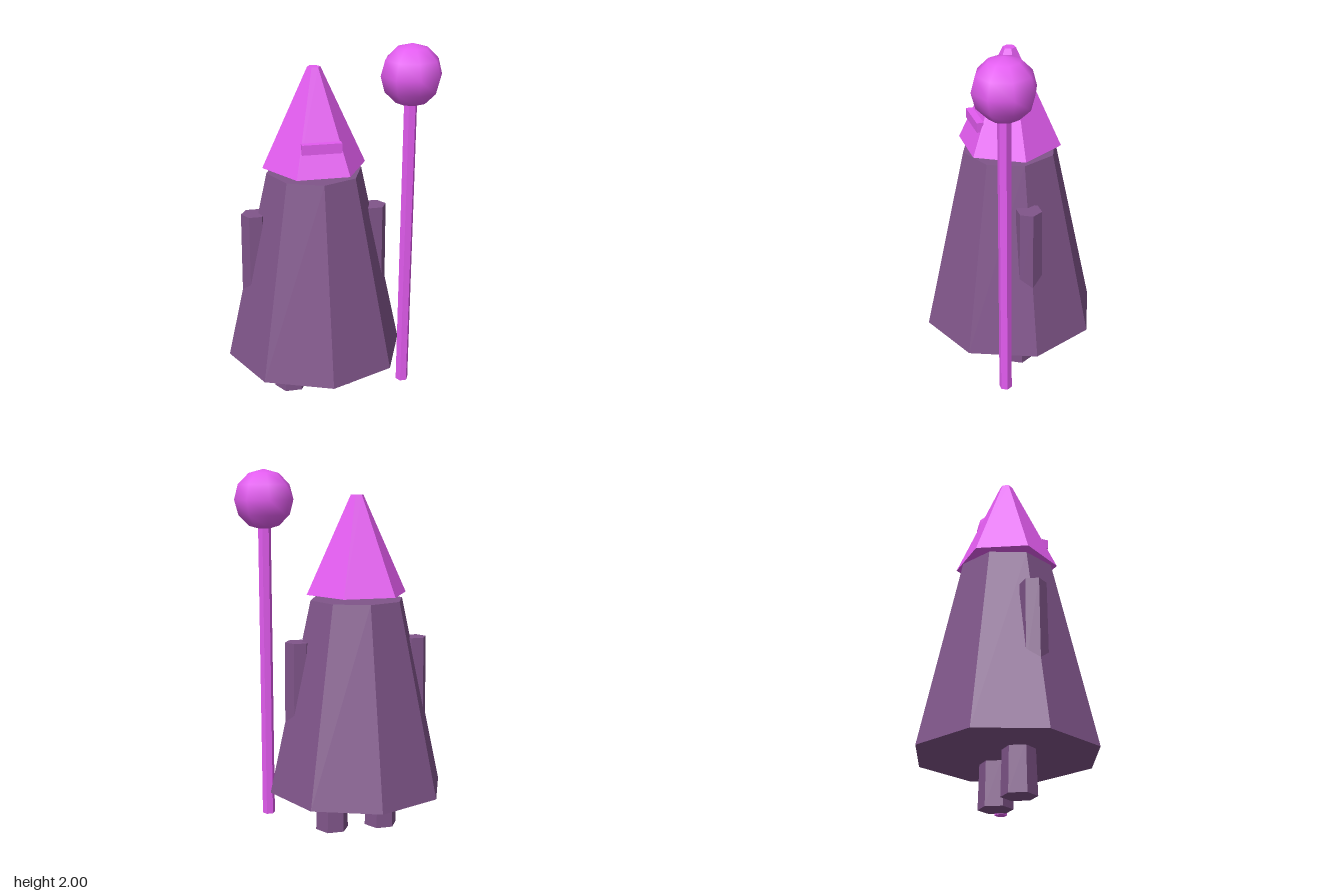
import * as THREE from 'three';

const cloth = new THREE.MeshStandardMaterial({ color: 0x80558a, flatShading: true });
const bright = new THREE.MeshStandardMaterial({ color: 0xe35cf0, flatShading: true });
const orbMaterial = new THREE.MeshStandardMaterial({ color: 0xe35cf0 });

const CX = -0.073; // the figure's own axis, shifted to make room for the staff

export function createModel() {
  const model = new THREE.Group();
  model.name = 'robedFigure';

  const add = (name, geometry, material, x, y, z) => {
    const mesh = new THREE.Mesh(geometry, material);
    mesh.name = name;
    mesh.position.set(x, y, z);
    model.add(mesh);
    return mesh;
  };

  // Upright tapered prism from y0 to y1; hexagons get a flat side towards the front
  const prism = (name, rTop, rBottom, y0, y1, sides, material, x, z = 0) => {
    const geometry = new THREE.CylinderGeometry(rTop, rBottom, y1 - y0, sides);
    if (sides === 6) geometry.rotateY(Math.PI / 6);
    return add(name, geometry, material, x, (y0 + y1) / 2, z);
  };

  // Robe and hood
  prism('robe', 0.26, 0.494, 0.24, 1.303, 8, cloth, CX);
  prism('hood', 0.035, 0.281, 1.334, 1.865, 6, bright, CX);
  add('visor', new THREE.BoxGeometry(0.21, 0.053, 0.037), bright, CX, 1.482, 0.192);

  // Legs and arms, mirrored about the figure's axis
  for (const [side, s] of [['left', 1], ['right', -1]]) {
    prism(side + 'Leg', 0.085, 0.093, 0, 0.26, 6, cloth, CX + s * 0.143);
    prism(side + 'Arm', 0.07, 0.074, 0.6, 1.08, 6, cloth, CX + s * 0.333);
  }

  // Staff with its orb
  prism('staff', 0.035, 0.035, 0.062, 1.75, 6, bright, 0.399, 0.177);
  add('orb', new THREE.SphereGeometry(0.163, 8, 6), orbMaterial, 0.399, 1.837, 0.177);

  return model;
}
